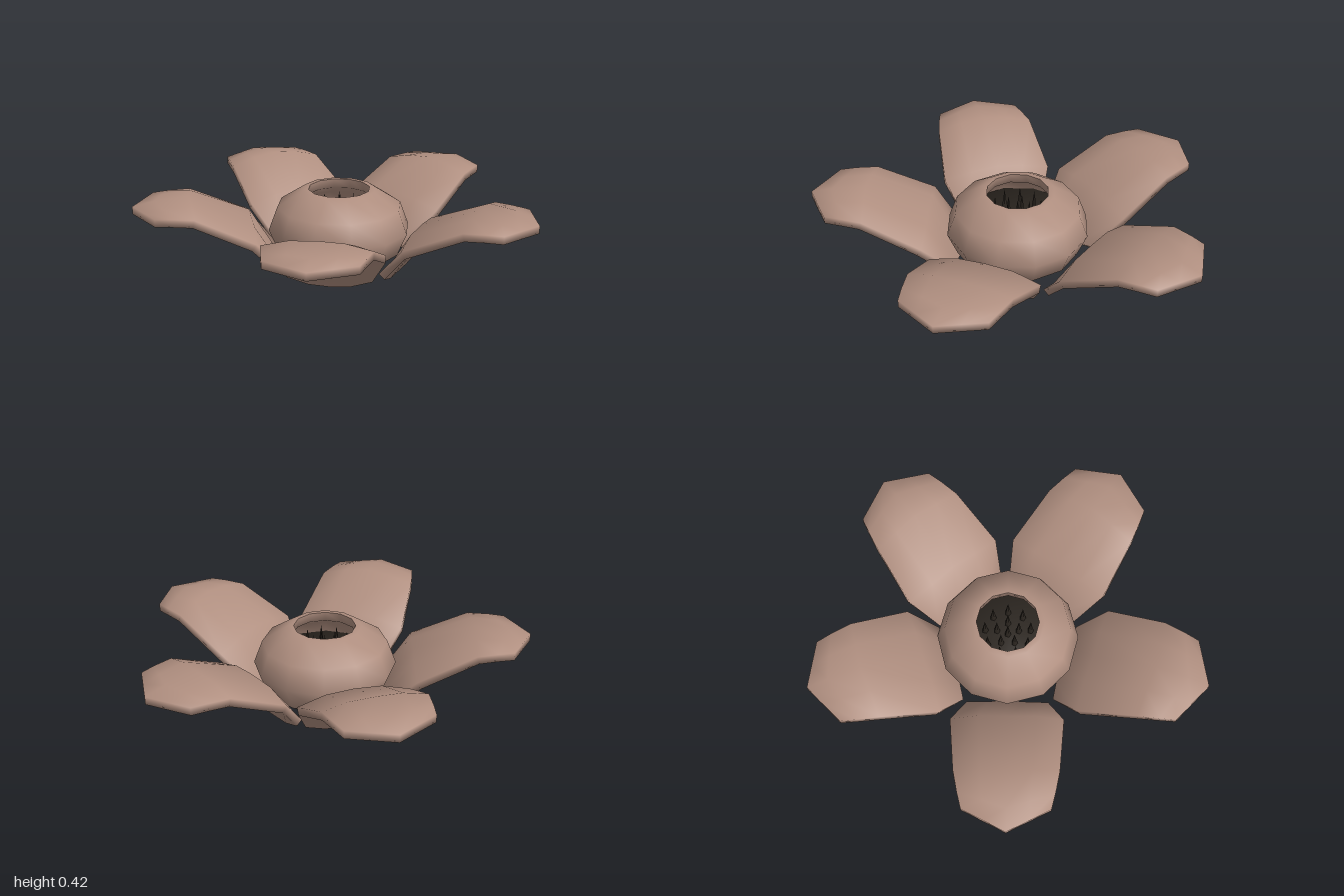
import * as THREE from 'three';
import { toCreasedNormals } from 'three/addons/utils/BufferGeometryUtils.js';

const CENTRE_X = 0.08;
const THICKNESS = 0.04;

// Petal cross-sections from base to tip, along the underside:
// [radius at middle, radius at edge, half width, height at middle, height at edge, dome]
const SECTIONS = [
  [0.33, 0.35, 0.215, 0.0, 0.05, 0.005],
  [0.51, 0.485, 0.29, 0.222, 0.208, 0.045],
  [0.8, 0.77, 0.262, 0.335, 0.335, 0.045],
  [0.95, 0.87, 0.24, 0.337, 0.337, 0.022],
  [1.06, 0.95, 0.22, 0.335, 0.335, 0],
];
const ACROSS = [-1, -0.5, 0, 0.5, 1];

// Closed petal pointing along +x, domed above and hollowed a little below
function petalGeometry() {
  const positions = [];
  const index = [];
  const n = ACROSS.length * 2;
  SECTIONS.forEach(([rMid, rEdge, half, yMid, yEdge, dome], i) => {
    const a = SECTIONS[Math.max(i - 1, 0)];
    const b = SECTIONS[Math.min(i + 1, SECTIONS.length - 1)];
    const normal = new THREE.Vector2(a[3] - b[3], b[0] - a[0]).normalize();
    const point = (u, lift) => positions.push(
      THREE.MathUtils.lerp(rMid, rEdge, Math.abs(u)) + normal.x * lift,
      THREE.MathUtils.lerp(yMid, yEdge, u * u) + normal.y * lift,
      u * half,
    );
    ACROSS.forEach((u) => point(u, 0.5 * dome * (1 - u * u)));
    [...ACROSS].reverse().forEach((u) => point(u, THICKNESS + dome * (1 - u * u)));
  });
  // skin between neighbouring sections
  for (let i = 0; i < SECTIONS.length - 1; i++) {
    for (let j = 0; j < n; j++) {
      const k = (j + 1) % n;
      const a = i * n + j, b = i * n + k, c = a + n, d = b + n;
      index.push(a, c, b, b, c, d);
    }
  }
  // base and tip caps
  const last = (SECTIONS.length - 1) * n;
  for (let j = 0; j < ACROSS.length - 1; j++) {
    const a = j, b = j + 1, c = n - 2 - j, d = n - 1 - j;
    index.push(a, b, c, a, c, d);
    index.push(last + a, last + c, last + b, last + a, last + d, last + c);
  }
  const geometry = new THREE.BufferGeometry();
  geometry.setAttribute('position', new THREE.Float32BufferAttribute(positions, 3));
  geometry.setIndex(index);
  geometry.computeVertexNormals();
  return geometry;
}

function lathe(points) {
  return toCreasedNormals(
    new THREE.LatheGeometry(points.map(([x, y]) => new THREE.Vector2(x, y)), 12), 1.2);
}

export function createModel() {
  const flower = new THREE.Group();
  flower.name = 'flower';
  const skin = new THREE.MeshStandardMaterial({ color: 0xb08f80, side: THREE.DoubleSide });
  const dark = new THREE.MeshStandardMaterial({ color: 0x2c2620 });

  const add = (name, geometry, material, parent = flower) => {
    const mesh = new THREE.Mesh(geometry, material);
    mesh.name = name;
    parent.add(mesh);
    return mesh;
  };

  // Hollow squashed bulb, with its rim turning inside
  const bulb = add('bulb', lathe([
    [0.185, 0], [0.32, 0.09], [0.37, 0.21], [0.325, 0.33], [0.19, 0.418],
    [0.16, 0.42], [0.165, 0.37], [0.28, 0.31], [0.32, 0.22],
  ]), skin);
  bulb.position.x = CENTRE_X;

  // Dark filling, seen through the openings
  const core = add('core', lathe([
    [0, 0.006], [0.184, 0.006], [0.31, 0.1], [0.33, 0.2], [0.31, 0.24], [0, 0.24],
  ]), dark);
  core.position.x = CENTRE_X;

  // Short spikes standing on the filling
  const spikes = new THREE.Group();
  spikes.name = 'spikes';
  spikes.position.set(CENTRE_X, 0.3, 0);
  flower.add(spikes);
  const spikeGeometry = new THREE.ConeGeometry(0.018, 0.13, 5);
  [[1, 0], [5, 0.06], [9, 0.12]].forEach(([count, radius]) => {
    for (let i = 0; i < count; i++) {
      const angle = (i / count) * Math.PI * 2;
      add('spike', spikeGeometry, dark, spikes)
        .position.set(Math.cos(angle) * radius, 0, Math.sin(angle) * radius);
    }
  });

  // Five petals, slightly uneven in spacing
  const petal = petalGeometry();
  [180, 109, 39.5, -34.5, -107.5].forEach((degrees) => {
    const mesh = add('petal', petal, skin);
    mesh.position.x = CENTRE_X;
    mesh.rotation.y = THREE.MathUtils.degToRad(degrees);
  });

  return flower;
}
